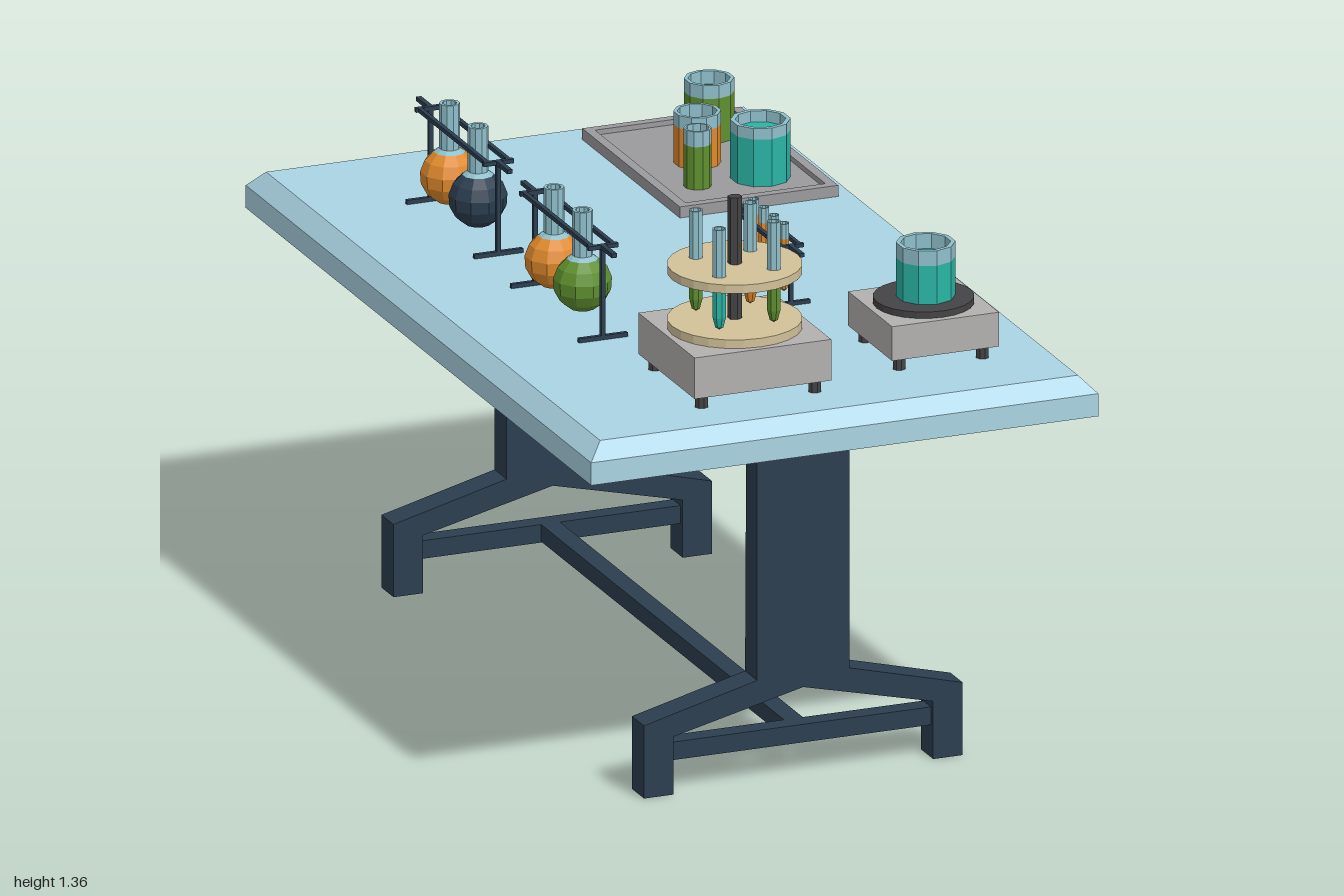
import * as THREE from 'three';

const mat = (color) => new THREE.MeshStandardMaterial({ color, flatShading: true });
const M = {
  top: mat(0xabd4e4), navy: mat(0x2c3e50), grey: mat(0xb3b1b0), tray: mat(0x9b9a9d), beige: mat(0xd2c29a),
  dark: mat(0x444446), teal: mat(0x2ab5a5), green: mat(0x5f9030), orange: mat(0xe08a2c), glass: mat(0x8fc0cc),
};
const DECK = 0.93; // height of the work surface

function add(parent, name, geo, material, x = 0, y = 0, z = 0) {
  const mesh = new THREE.Mesh(geo, material);
  mesh.name = name;
  mesh.position.set(x, y, z);
  parent.add(mesh);
  return mesh;
}

// Box given by its base centre, size and base height
const box = (parent, name, material, w, h, d, x, y, z) =>
  add(parent, name, new THREE.BoxGeometry(w, h, d), material, x, y + h / 2, z);

const cyl = (parent, name, material, r, h, sides, x, y, z) =>
  add(parent, name, new THREE.CylinderGeometry(r, r, h, sides), material, x, y + h / 2, z);

function group(parent, name, x, y, z) {
  const g = new THREE.Group();
  g.name = name;
  g.position.set(x, y, z);
  parent.add(g);
  return g;
}

const lathe = (pts, sides) => new THREE.LatheGeometry(pts.map(([r, y]) => new THREE.Vector2(r, y)), sides);

// Filled glass vessel: liquid body closed at its level, hollow glass wall above it
function vessel(parent, name, liquid, liquidPts, glassPts, wall, sides, x, y, z) {
  const g = group(parent, name, x, y, z);
  const [, level] = liquidPts[liquidPts.length - 1];
  const [rim, top] = glassPts[glassPts.length - 1];
  add(g, 'liquid', lathe([...liquidPts, [0, level]], sides), liquid);
  add(g, 'glass', lathe([liquidPts[liquidPts.length - 1], ...glassPts, [rim - wall, top], [rim - wall, level]], sides), M.glass);
}

const beaker = (parent, liquid, r, h, level, x, y, z) =>
  vessel(parent, 'beaker', liquid, [[0, 0], [r, 0], [r, level]], [[r, h]], r * 0.16, 10, x, y, z);

const testTube = (parent, liquid, r, h, level, x, y, z) =>
  vessel(parent, 'testTube', liquid, [[0, 0], [r * 0.6, 0.006], [r, 0.03], [r, level]], [[r, h]], r * 0.25, 8, x, y, z);

function flask(parent, liquid, x, y, z) {
  const R = 0.066, pts = [];
  for (let i = 0; i <= 6; i++) {
    const a = (i / 6) * 2.58;
    pts.push([R * Math.sin(a), R - R * Math.cos(a)]);
  }
  vessel(parent, 'flask', liquid, pts, [[0.023, 0.13], [0.023, 0.235]], 0.007, 10, x, y, z);
}

// Rod stand: two T-feet with posts, twin holding rails and a long top rod
function stand(parent, name, x, z, height, post, rod, foot, rail, t) {
  const g = group(parent, name, x, DECK, z);
  for (const s of [-1, 1]) {
    box(g, 'foot', M.navy, foot * 2, t, t, 0, 0, s * post);
    box(g, 'post', M.navy, t, height, t, 0, 0, s * post);
    box(g, 'crossPiece', M.navy, rail * 2 + t * 2, t, t, 0, height - t, s * post);
    box(g, 'rail', M.navy, t, t, post * 2, s * rail, height - t, 0);
    box(g, 'rodEnd', M.navy, t * 1.2, t, rod - post, 0, height - t, s * (rod + post) / 2);
  }
  return g;
}

// Instrument housing on four small feet
function housing(parent, name, x, z, size, h) {
  const g = group(parent, name, x, DECK, z);
  box(g, 'housing', M.grey, size, h, size, 0, 0.03, 0);
  for (const sx of [-1, 1]) for (const sz of [-1, 1])
    cyl(g, 'foot', M.dark, 0.015, 0.03, 8, sx * (size / 2 - 0.028), 0, sz * (size / 2 - 0.028));
  return g;
}

function buildTable(parent) {
  const g = group(parent, 'table', 0, 0, 0);
  box(g, 'tableTop', M.top, 1.21, 0.053, 2, 0, 0.84, 0);
  // Sloping edge: narrow the upper corners of a box
  const bevel = new THREE.BoxGeometry(1.21, 0.037, 2);
  const p = bevel.attributes.position;
  for (let i = 0; i < p.count; i++)
    if (p.getY(i) > 0) p.setXYZ(i, Math.sign(p.getX(i)) * 0.57, p.getY(i), Math.sign(p.getZ(i)) * 0.967);
  bevel.computeVertexNormals();
  add(g, 'tableTopBevel', bevel, M.top, 0, 0.9115, 0);

  // Column with arched, splayed feet
  const half = [[0.11, 0.84], [0.11, 0.24], [0.38, 0.17], [0.38, 0], [0.31, 0], [0.31, 0.135], [0, 0.21]];
  const mirrored = half.slice(0, -1).reverse().map(([x, y]) => [-x, y]);
  const shape = new THREE.Shape([...half, ...mirrored].map(([x, y]) => new THREE.Vector2(x, y)));
  for (const s of [-1, 1]) {
    const geo = new THREE.ExtrudeGeometry(shape, { depth: 0.07, bevelEnabled: false });
    geo.translate(0, 0, -0.035);
    const q = geo.attributes.position;
    for (let i = 0; i < q.count; i++) // inner face leans slightly outward at the top
      if (q.getY(i) > 0.5 && q.getZ(i) * s < 0) q.setZ(i, -s * 0.028);
    geo.computeVertexNormals();
    add(g, 'leg', geo, M.navy, 0, 0, s * 0.725);
    box(g, 'footBar', M.navy, 0.62, 0.042, 0.045, 0, 0.076, s * 0.725);
  }
  box(g, 'stretcher', M.navy, 0.045, 0.04, 1.45, 0, 0.078, 0);
}

function buildCarousel(parent) {
  const g = housing(parent, 'tubeCarousel', -0.142, 0.708, 0.326, 0.096);
  cyl(g, 'lowerDisc', M.beige, 0.15, 0.02, 24, 0, 0.126, 0);
  cyl(g, 'upperDisc', M.beige, 0.15, 0.02, 24, 0, 0.254, 0);
  cyl(g, 'rod', M.dark, 0.016, 0.29, 6, 0, 0.14, 0);
  const tubes = [[-1, 1, M.teal], [1, 1, M.green], [1, -1, M.orange], [-1, -1, M.green]];
  for (const [sx, sz, liquid] of tubes)
    testTube(g, liquid, 0.016, 0.236, 0.118, sx * 0.065, 0.149, sz * 0.068);
}

function buildHotPlate(parent) {
  const g = housing(parent, 'hotPlate', 0.322, 0.675, 0.255, 0.08);
  cyl(g, 'heatingDisc', M.dark, 0.112, 0.015, 24, 0, 0.11, 0);
  beaker(g, M.teal, 0.066, 0.125, 0.09, 0.005, 0.125, 0);
}

function buildTray(parent) {
  const g = group(parent, 'tray', 0.346, DECK, -0.618);
  const W = 0.378, D = 0.566, rim = 0.022;
  box(g, 'trayFloor', M.tray, W - 0.01, 0.014, D - 0.01, 0, 0, 0);
  const rect = (C, w, d) => new C([[-w, -d], [w, -d], [w, d], [-w, d]].map(([x, y]) => new THREE.Vector2(x / 2, y / 2)));
  const frame = rect(THREE.Shape, W, D);
  frame.holes.push(rect(THREE.Path, W - rim * 2, D - rim * 2));
  const geo = new THREE.ExtrudeGeometry(frame, { depth: 0.026, bevelEnabled: false });
  geo.rotateX(-Math.PI / 2);
  add(g, 'trayRim', geo, M.tray);
  beaker(g, M.green, 0.056, 0.136, 0.105, 0.064, 0.014, -0.162);
  beaker(g, M.orange, 0.053, 0.12, 0.09, -0.026, 0.014, -0.012);
  beaker(g, M.green, 0.031, 0.136, 0.1, -0.086, 0.014, 0.135);
  beaker(g, M.teal, 0.067, 0.136, 0.11, 0.064, 0.014, 0.135);
}

export function createModel() {
  const model = new THREE.Group();
  model.name = 'laboratoryTable';
  buildTable(model);
  buildCarousel(model);
  buildHotPlate(model);
  buildTray(model);

  // Two flask stands along the -x side
  for (const [z, back, front] of [[-0.455, M.orange, M.navy], [0.15, M.orange, M.green]]) {
    const s = stand(model, 'flaskStand', -0.308, z, 0.222, 0.196, 0.264, 0.058, 0.026, 0.01);
    flask(s, back, 0, 0.03, -0.086);
    flask(s, front, 0, 0.03, 0.079);
  }

  // Small rack of four test tubes
  const rack = stand(model, 'testTubeRack', 0.162, 0.168, 0.142, 0.126, 0.192, 0.045, 0.021, 0.009);
  for (let i = 0; i < 4; i++) testTube(rack, M.orange, 0.0125, 0.16, 0.125, 0, 0.02, -0.087 + i * 0.058);
  return model;
}
